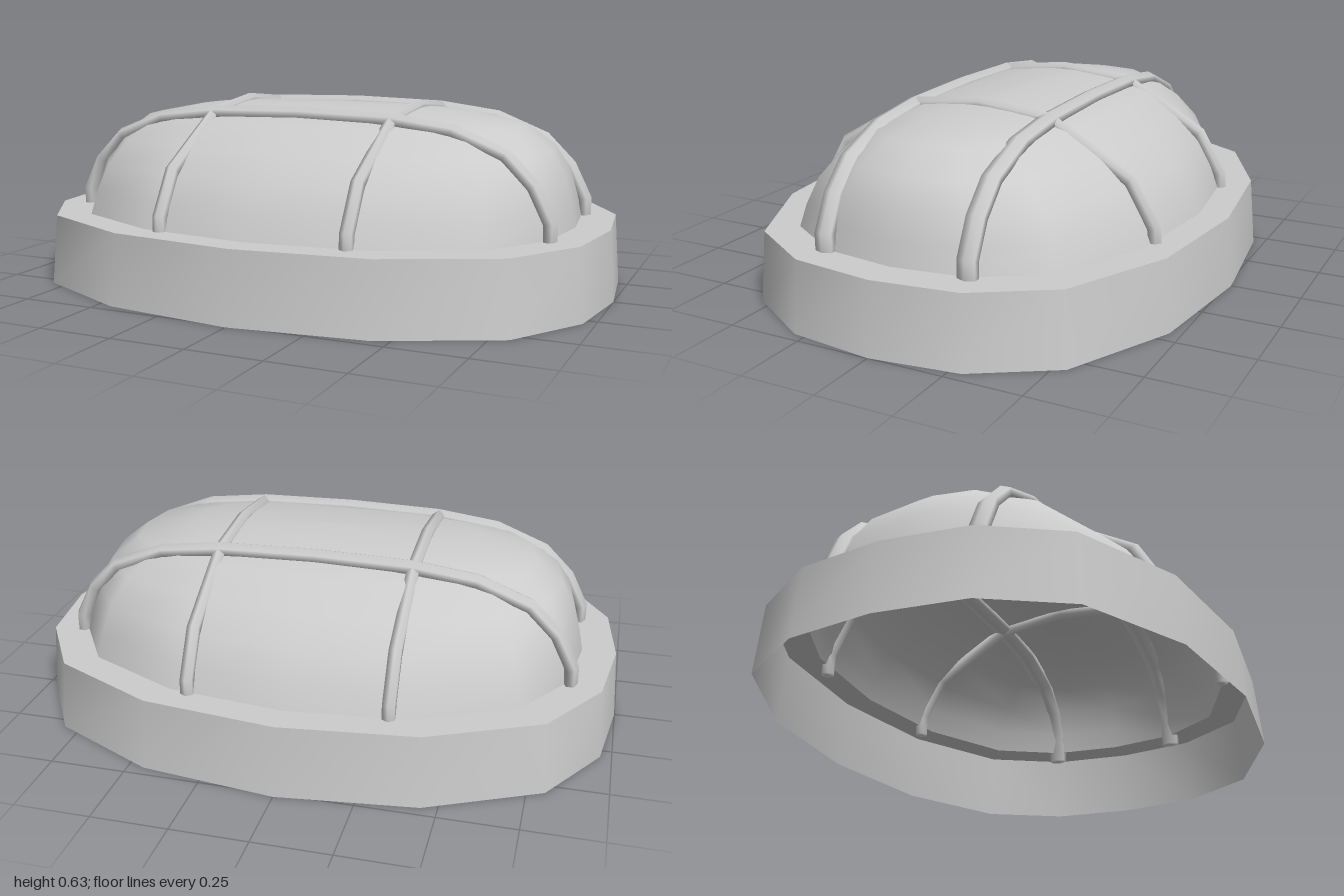
import * as THREE from 'three';

// One quarter of the faceted oval outline, mirrored into a full 16-sided loop
const QUARTER = [[1, 0], [0.963, 0.378], [0.807, 0.705], [0.448, 0.93]];
const OUTLINE = [
  ...QUARTER,
  [0, 1], ...QUARTER.slice(1).reverse().map(([x, z]) => [-x, z]),
  ...QUARTER.map(([x, z]) => [-x, -z]),
  [0, -1], ...QUARTER.slice(1).reverse().map(([x, z]) => [x, -z]),
];

const material = new THREE.MeshStandardMaterial({ color: 0xcccccc, side: THREE.DoubleSide });

// Skin a list of closed rings of Vector3 with quads
function skin(name, rings) {
  const n = rings[0].length;
  const index = [];
  for (let j = 0; j < rings.length - 1; j++) {
    for (let i = 0; i < n; i++) {
      const a = j * n + i, b = j * n + (i + 1) % n, c = a + n, d = b + n;
      index.push(a, c, b, b, c, d);
    }
  }
  const geometry = new THREE.BufferGeometry().setFromPoints(rings.flat());
  geometry.setIndex(index);
  geometry.computeVertexNormals();
  const mesh = new THREE.Mesh(geometry, material);
  mesh.name = name;
  return mesh;
}

// Oval ring with its own half length, half depth and height
const oval = ([sx, sz, y]) => OUTLINE.map(([x, z]) => new THREE.Vector3(x * sx, y, z * sz));

// Hexagonal bar swept along a mirrored arch, lying in the XY plane
function guardBar(name, half, halfWidth, halfHeight) {
  const path = [...half, ...half.slice(0, -1).reverse().map(([u, y]) => [-u, y])]
    .map(([u, y]) => new THREE.Vector2(u, y));
  const last = path.length - 1;
  const rings = path.map((p, k) => {
    const before = p.clone().sub(path[Math.max(k - 1, 0)]).normalize();
    const after = path[Math.min(k + 1, last)].clone().sub(p).normalize();
    const t = before.add(after).normalize();
    const ring = [];
    for (let i = 0; i < 6; i++) {
      const a = -i * Math.PI / 3;
      const h = Math.cos(a) * halfHeight;
      const w = Math.sin(a) / Math.sin(Math.PI / 3) * halfWidth;
      ring.push(new THREE.Vector3(p.x + t.y * h, p.y - t.x * h, w));
    }
    return ring;
  });
  // Close both ends on their centre points
  const cap = (p) => Array.from({ length: 6 }, () => new THREE.Vector3(p.x, p.y, 0));
  return skin(name, [cap(path[0]), ...rings, cap(path[last])]);
}

export function createModel() {
  const model = new THREE.Group();
  model.name = 'bulkheadLamp';

  // Open-bottomed base: tapered wall and flat flange
  model.add(skin('baseWall', [[1, 0.767, 0], [0.983, 0.745, 0.235]].map(oval)));
  model.add(skin('baseFlange', [[0.983, 0.745, 0.235], [0.87, 0.645, 0.235]].map(oval)));

  // Hollow domed cover
  model.add(skin('domeCover', [
    [0.87, 0.645, 0.235],
    [0.855, 0.615, 0.31],
    [0.83, 0.56, 0.40],
    [0.785, 0.47, 0.48],
    [0.69, 0.355, 0.555],
    [0.51, 0.25, 0.59],
    [0.33, 0.1, 0.608],
    [0, 0, 0.612],
  ].map(oval)));

  // Guard cage: two long bars along x, two cross bars along z
  const longArch = [[0.845, 0.2], [0.845, 0.29], [0.79, 0.4], [0.7, 0.49], [0.53, 0.557], [0.32, 0.583], [0, 0.59]];
  const crossArch = [[0.61, 0.2], [0.607, 0.28], [0.525, 0.42], [0.25, 0.58], [0, 0.606]];
  for (const side of [1, -1]) {
    const long = guardBar('longGuardBar', longArch, 0.03, 0.024);
    long.position.z = side * 0.247;
    const cross = guardBar('crossGuardBar', crossArch, 0.02, 0.025);
    cross.rotation.y = Math.PI / 2;
    cross.position.x = side * 0.325;
    model.add(long, cross);
  }
  return model;
}
